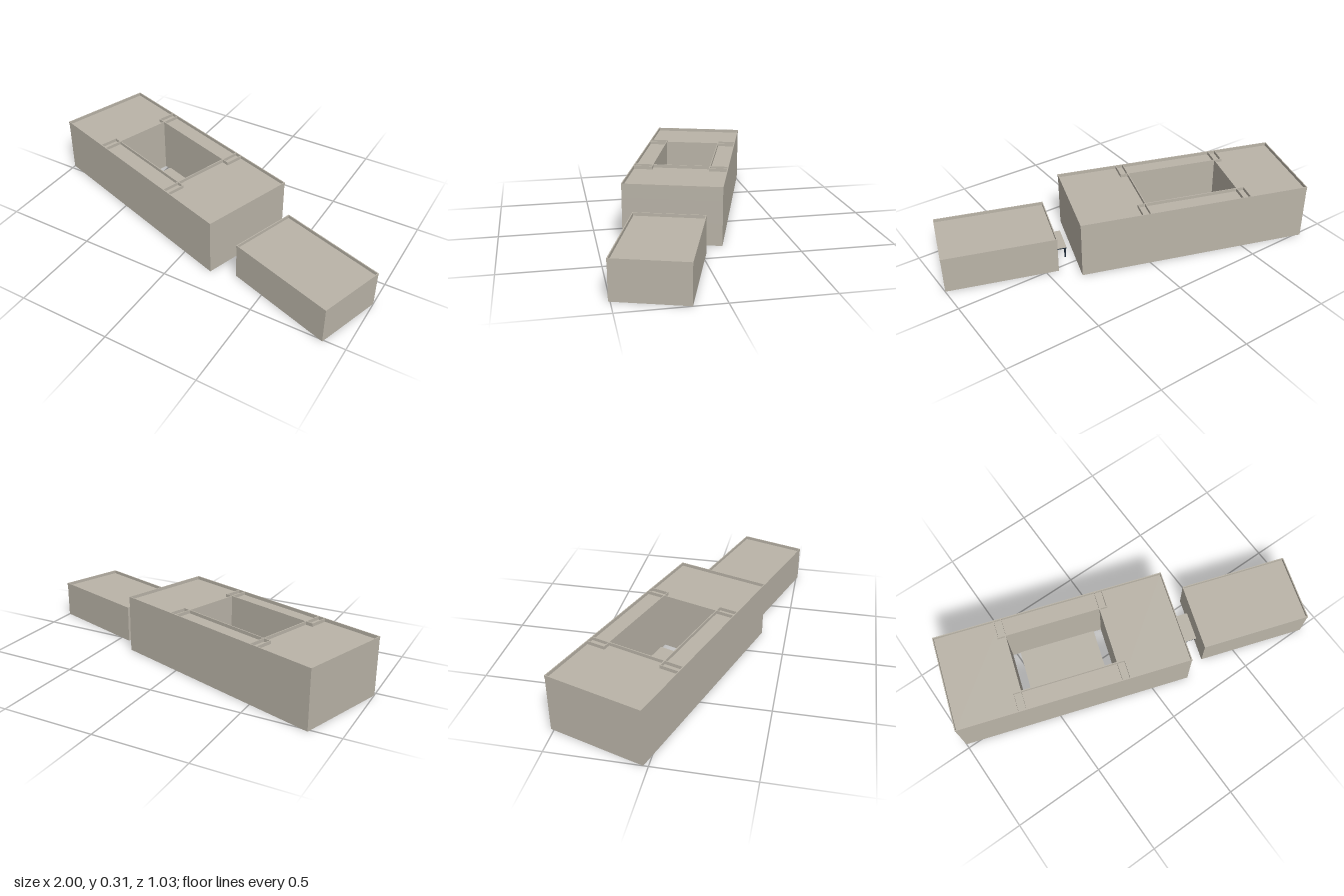
import * as THREE from 'three';

const concrete = new THREE.MeshStandardMaterial({ color: 0xbab4a8 });
concrete.name = 'warm grey concrete';
const steel = new THREE.MeshStandardMaterial({ color: 0x1f2c3a });
steel.name = 'dark blue steel';

// Box given by its minimum and maximum corners
function box(name, x0, x1, y0, y1, z0, z1, material = concrete) {
  const mesh = new THREE.Mesh(new THREE.BoxGeometry(x1 - x0, y1 - y0, z1 - z0), material);
  mesh.position.set((x0 + x1) / 2, (y0 + y1) / 2, (z0 + z1) / 2);
  mesh.name = name;
  return mesh;
}

// Stacked storeys, a flat roof and a thin raised parapet around it
function block(name, x0, x1, z0, z1, storeys, storeyHeight, top) {
  const group = new THREE.Group();
  group.name = name;
  for (let i = 0; i < storeys; i++) {
    group.add(box('storey' + (i + 1), x0, x1, i * storeyHeight, (i + 1) * storeyHeight, z0, z1));
  }
  const rim = new THREE.Shape();
  const o = 0.001, t = 0.004;
  rim.moveTo(x0 - o, -z1 - o).lineTo(x1 + o, -z1 - o).lineTo(x1 + o, -z0 + o).lineTo(x0 - o, -z0 + o).closePath();
  const hole = new THREE.Path();
  hole.moveTo(x0 + t, -z1 + t).lineTo(x0 + t, -z0 - t).lineTo(x1 - t, -z0 - t).lineTo(x1 - t, -z1 + t).closePath();
  rim.holes.push(hole);
  const base = storeys * storeyHeight;
  const parapet = new THREE.Mesh(
    new THREE.ExtrudeGeometry(rim, { depth: top - base, bevelEnabled: false }), concrete);
  parapet.rotation.x = -Math.PI / 2;
  parapet.position.y = base;
  parapet.name = 'parapet';
  group.add(parapet);
  return group;
}

export function createModel() {
  const model = new THREE.Group();
  model.name = 'buildingComplex';
  const site = new THREE.Group();
  site.name = 'site';
  site.rotation.y = -0.315;
  model.add(site);

  // Main building: two end blocks joined by two wings around a courtyard
  const main = [5, 0.0595, 0.315];
  site.add(block('westBlock', -0.959, -0.59, -0.231, 0.287, ...main));
  site.add(block('eastBlock', -0.077, 0.298, -0.231, 0.287, ...main));
  site.add(block('backWing', -0.634, -0.034, -0.231, -0.129, ...main));
  site.add(block('frontWing', -0.634, -0.034, 0.183, 0.287, ...main));
  // Courtyard floor, with an open slot at each end
  site.add(box('courtyardFloor', -0.547, -0.12, 0, 0.01, -0.129, 0.183));

  // Low annex
  site.add(block('annex', 0.408, 1.0, -0.159, 0.21, 3, 0.062, 0.203));

  // Entrance canopy on the annex
  const canopy = new THREE.Group();
  canopy.name = 'entranceCanopy';
  canopy.add(box('canopyRoof', 0.34, 0.408, 0.062, 0.066, -0.053, 0.105));
  canopy.add(box('canopyFrame', 0.341, 0.408, 0.056, 0.062, -0.052, 0.104, steel));
  for (const z of [-0.049, 0.101]) {
    canopy.add(box('canopyPost', 0.344, 0.352, 0, 0.056, z - 0.004, z + 0.004, steel));
  }
  site.add(canopy);
  return model;
}
